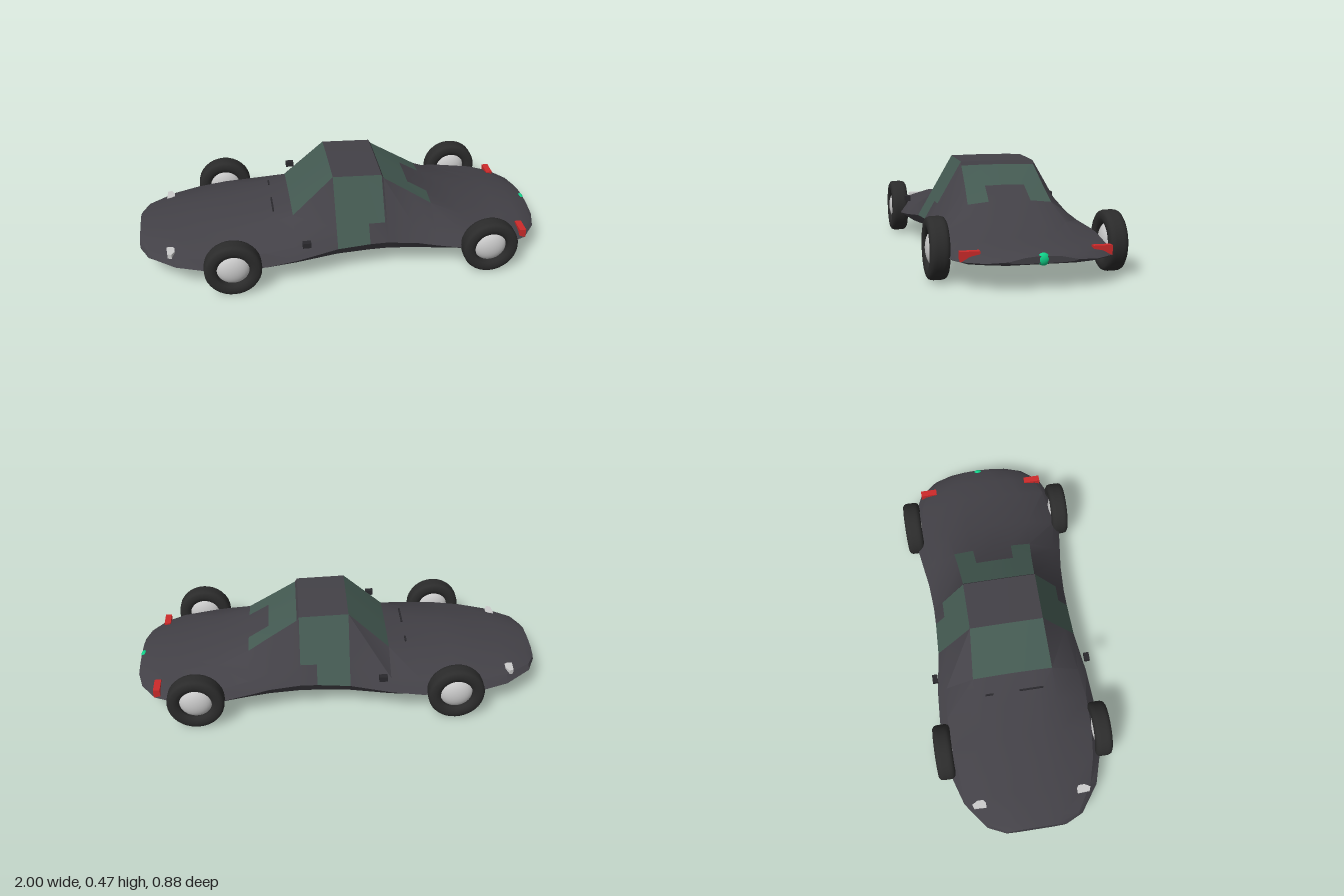
import * as THREE from 'three';
import { toCreasedNormals } from 'three/addons/utils/BufferGeometryUtils.js';

const paint = (color) => new THREE.MeshStandardMaterial({ color });
const MAT = {
  body: paint(0x434147), glass: paint(0x445a52), tyre: paint(0x2b2b2b),
  metal: paint(0xcccccc), red: paint(0xcc2a2a), green: paint(0x10d088), dark: paint(0x2a292d),
};
MAT.body.side = MAT.glass.side = THREE.DoubleSide;

// Body stations, nose to tail:
// x, half width, top, shoulder z, shoulder y, edge y, floor y, flank bulge
const STATIONS = [
  [-1, .15, .165, .09, .16, .13, .1, .005],
  [-.96, .235, .175, .13, .168, .125, .092, .01],
  [-.83, .33, .195, .18, .185, .12, .088, .012],
  [-.7, .37, .215, .19, .2, .115, .08, .018],
  [-.56, .388, .238, .2, .22, .115, .075, .02],
  [-.4, .395, .252, .2, .238, .12, .075, .018],
  [-.25, .385, .285, .2, .275, .135, .075, .008],
  [-.05, .355, .465, .18, .462, .16, .075, 0],
  [.11, .347, .459, .18, .456, .167, .075, 0],
  [.19, .346, .456, .18, .453, .167, .075, 0],
  [.2, .346, .438, .18, .435, .166, .075, 0],
  [.34, .355, .355, .19, .345, .155, .075, .002],
  [.44, .37, .295, .2, .28, .14, .077, .008],
  [.6, .393, .228, .22, .21, .12, .08, .018],
  [.8, .372, .19, .2, .175, .115, .09, .015],
  [.9, .33, .173, .18, .16, .115, .098, .008],
  [.97, .24, .155, .13, .148, .118, .106, .004],
  [.995, .15, .145, .08, .14, .125, .115, 0],
];

// Closed cross-section: top centre, down the +z side, back up the -z side
function ring([x, w, top, sz, sy, edge, floor, bulge]) {
  const half = [
    [0, top],
    [sz * .5, top - (top - sy) * .3],
    [sz, sy],
    [sz + (w - sz) * .7 + bulge, sy + (edge - sy) * .7 + bulge],
    [w, edge],
    [w * .9, edge + (floor - edge) * .6],
    [w * .6, floor],
    [0, floor],
  ];
  const other = half.slice(1, 7).reverse().map(([z, y]) => [-z, y]);
  return [...half, ...other].map(([z, y]) => [x, y, z]);
}

// Which strips of the shell are glazed
function isGlass(i, j) {
  const x = STATIONS[i][0], strip = j < 7 ? j : 13 - j;
  if (x === -.25) return strip < 2;                 // windscreen
  if (x === -.05) return strip === 2 || strip === 3; // side window
  if (x === .11) return strip === 2;                // side window, raised rear corner
  if (x === .2) return strip < 2;                   // rear window
  if (x === .34) return strip === 1;                // rear window, lower corners
  return false;
}

function addShell(car) {
  const rings = STATIONS.map(ring), n = rings[0].length;
  const body = [], glass = [];
  for (let i = 0; i < rings.length - 1; i++) {
    for (let j = 0; j < n; j++) {
      const k = (j + 1) % n;
      const a = rings[i][j], b = rings[i][k], c = rings[i + 1][k], d = rings[i + 1][j];
      (isGlass(i, j) ? glass : body).push(...a, ...b, ...c, ...a, ...c, ...d);
    }
  }
  // Nose and tail caps
  const nose = rings[0], tail = rings[rings.length - 1];
  for (let j = 1; j < n - 1; j++) {
    body.push(...nose[0], ...nose[j + 1], ...nose[j], ...tail[0], ...tail[j], ...tail[j + 1]);
  }
  for (const [name, data, mat] of [['bodyShell', body, MAT.body], ['windows', glass, MAT.glass]]) {
    const g = new THREE.BufferGeometry();
    g.setAttribute('position', new THREE.Float32BufferAttribute(data, 3));
    add(car, name, toCreasedNormals(g, .5), mat);
  }
}

function add(parent, name, geometry, material, x = 0, y = 0, z = 0) {
  const m = new THREE.Mesh(geometry, material);
  m.name = name;
  m.position.set(x, y, z);
  parent.add(m);
  return m;
}

function makeWheel(name, x, side) {
  const wheel = new THREE.Group();
  wheel.name = name;
  // Rounded tyre with an open centre
  const profile = [
    [.078, -.03], [.088, -.04], [.105, -.0435], [.122, -.042], [.132, -.036], [.1365, -.026], [.1375, -.014],
    [.1375, .014], [.1365, .026], [.132, .036], [.122, .042], [.105, .0435], [.088, .04], [.078, .03], [.078, -.03],
  ].map(([r, h]) => new THREE.Vector2(r, h));
  add(wheel, 'tyre', new THREE.LatheGeometry(profile, 32), MAT.tyre).rotation.x = Math.PI / 2;
  // Domed hub showing on both faces
  add(wheel, 'hub', new THREE.SphereGeometry(.083, 28, 18), MAT.metal).scale.z = .55;
  wheel.position.set(x, .1375, side * .394);
  return wheel;
}

// Wedge tail lamp, deep at its outer end
function tailLamp(side) {
  const pts = [[.245, .158], [.245, .146], [.305, .121], [.33, .115], [.33, .158]]
    .map(([z, y]) => new THREE.Vector2(-side * z, y));
  const g = new THREE.ExtrudeGeometry(new THREE.Shape(pts), { depth: .032, bevelEnabled: false });
  return g.rotateY(Math.PI / 2);
}

// Small headlamp, tapered towards the flank
function headLamp(side) {
  const pts = [[-.87, .225], [-.83, .225], [-.83, .265], [-.845, .292], [-.865, .285]]
    .map(([x, z]) => new THREE.Vector2(x, -side * z));
  const g = new THREE.ExtrudeGeometry(new THREE.Shape(pts), { depth: .024, bevelEnabled: false });
  return g.rotateX(-Math.PI / 2);
}

export function createModel() {
  const car = new THREE.Group();
  car.name = 'car';
  addShell(car);

  for (const side of [1, -1]) {
    car.add(makeWheel('frontWheel', -.56, side), makeWheel('rearWheel', .695, side));
    add(car, 'tailLamp', tailLamp(side), MAT.red, .872);
    add(car, 'headLamp', headLamp(side), MAT.metal, 0, .145);
    add(car, 'mirror', new THREE.BoxGeometry(.04, .026, .026), MAT.dark, -.205, .227, side * .387);
  }

  // Round badge lamps at both ends
  for (const x of [-.984, .984]) {
    add(car, 'endLamp', new THREE.SphereGeometry(.027, 20, 14), MAT.green, x, .13).scale.x = .6;
  }

  // Wipers at the foot of the windscreen
  for (const [z, length] of [[.08, .12], [-.13, .04]]) {
    add(car, 'wiper', new THREE.BoxGeometry(.008, .008, length), MAT.dark, -.34, .272, z);
  }
  return car;
}
